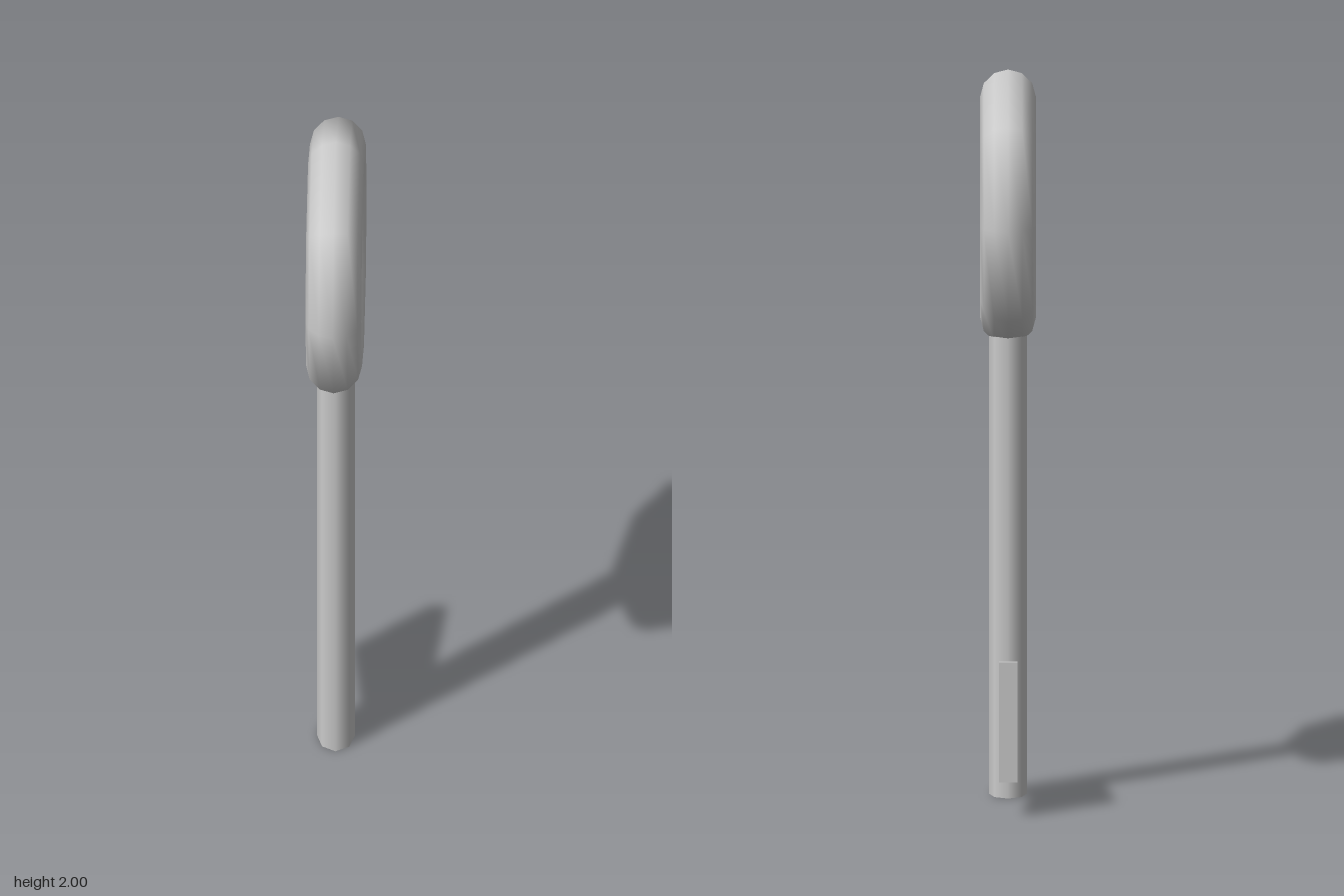
import * as THREE from 'three';

const material = new THREE.MeshStandardMaterial({ color: 0xcccccc });

function addPart(group, name, geometry) {
  const mesh = new THREE.Mesh(geometry, material);
  mesh.name = name;
  group.add(mesh);
  return mesh;
}

export function createModel() {
  const key = new THREE.Group();
  key.name = 'key';

  // Eight-segment ring handle, standing in the yz plane
  const bow = addPart(key, 'bow', new THREE.TorusGeometry(0.304, 0.076, 12, 8));
  bow.rotation.y = Math.PI / 2;
  bow.position.y = 1.62;

  // Oval shaft, its top buried in the ring
  const shaftHeight = 1.3;
  const shaftGeometry = new THREE.CylinderGeometry(1, 1, shaftHeight, 8);
  shaftGeometry.scale(0.052, 1, 0.075);
  addPart(key, 'shaft', shaftGeometry).position.y = shaftHeight / 2;

  // Flared plate at the back, drawn as (distance behind the shaft axis, height)
  const thickness = 0.05;
  const profile = new THREE.Shape([
    new THREE.Vector2(0.03, 0.15),
    new THREE.Vector2(0.352, 0.095),
    new THREE.Vector2(0.352, 0.427),
    new THREE.Vector2(0.03, 0.37),
  ]);
  const bitGeometry = new THREE.ExtrudeGeometry(profile, { depth: thickness, bevelEnabled: false });
  bitGeometry.translate(0, 0, -thickness / 2);
  bitGeometry.rotateY(Math.PI / 2);
  addPart(key, 'bit', bitGeometry);

  return key;
}
